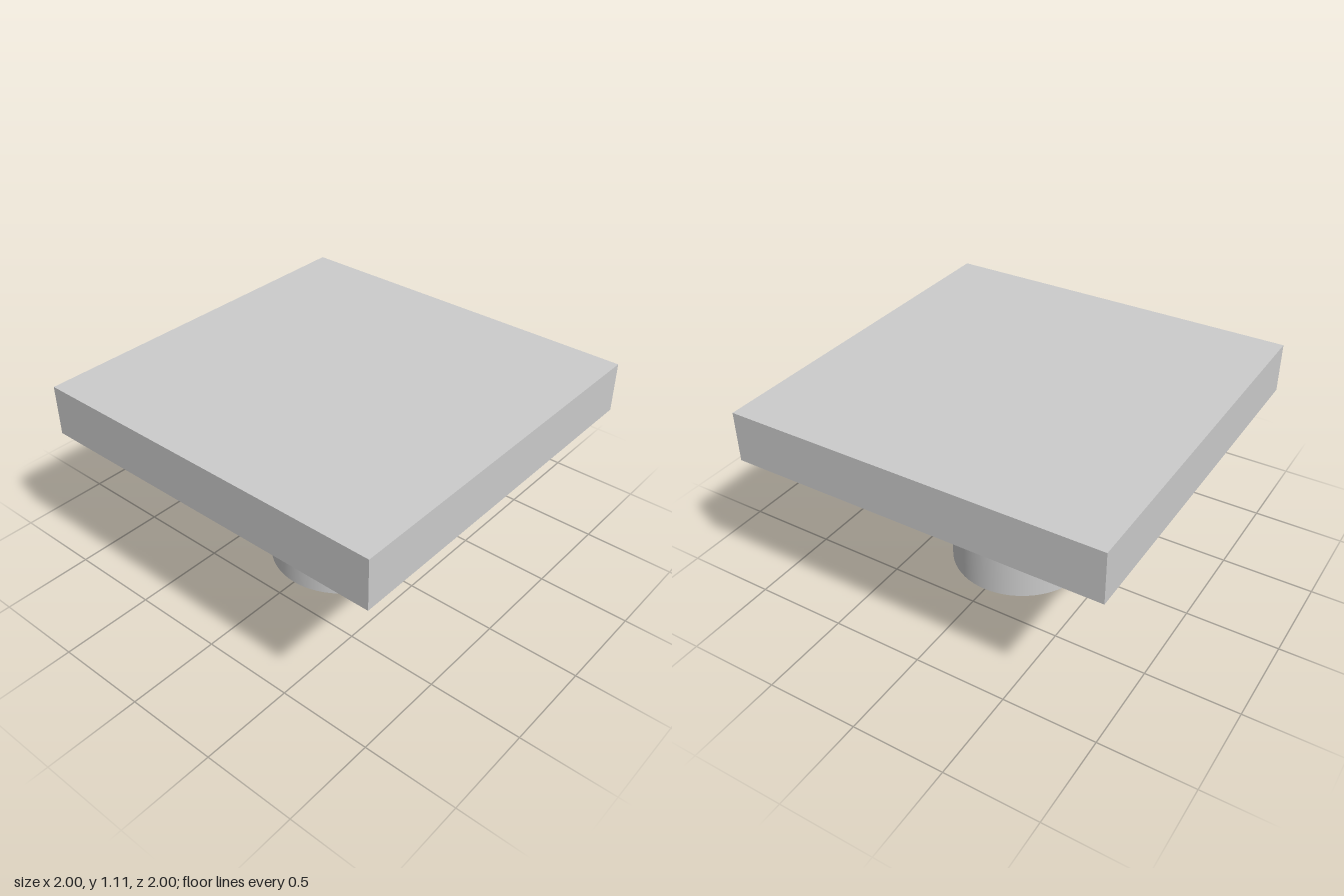
import * as THREE from 'three';

export function createModel() {
  const model = new THREE.Group();
  const material = new THREE.MeshStandardMaterial({ color: 0xcccccc });
  const columnHeight = 0.84, columnRadius = 0.387, slabThickness = 0.272;

  const add = (name, geometry, y) => {
    const mesh = new THREE.Mesh(geometry, material);
    mesh.name = name;
    mesh.position.y = y;
    model.add(mesh);
  };

  // Round column standing on the ground
  add('column', new THREE.CylinderGeometry(columnRadius, columnRadius, columnHeight, 64), columnHeight / 2);

  // Square slab resting on the column
  add('slab', new THREE.BoxGeometry(2, slabThickness, 2), columnHeight + slabThickness / 2);

  return model;
}
